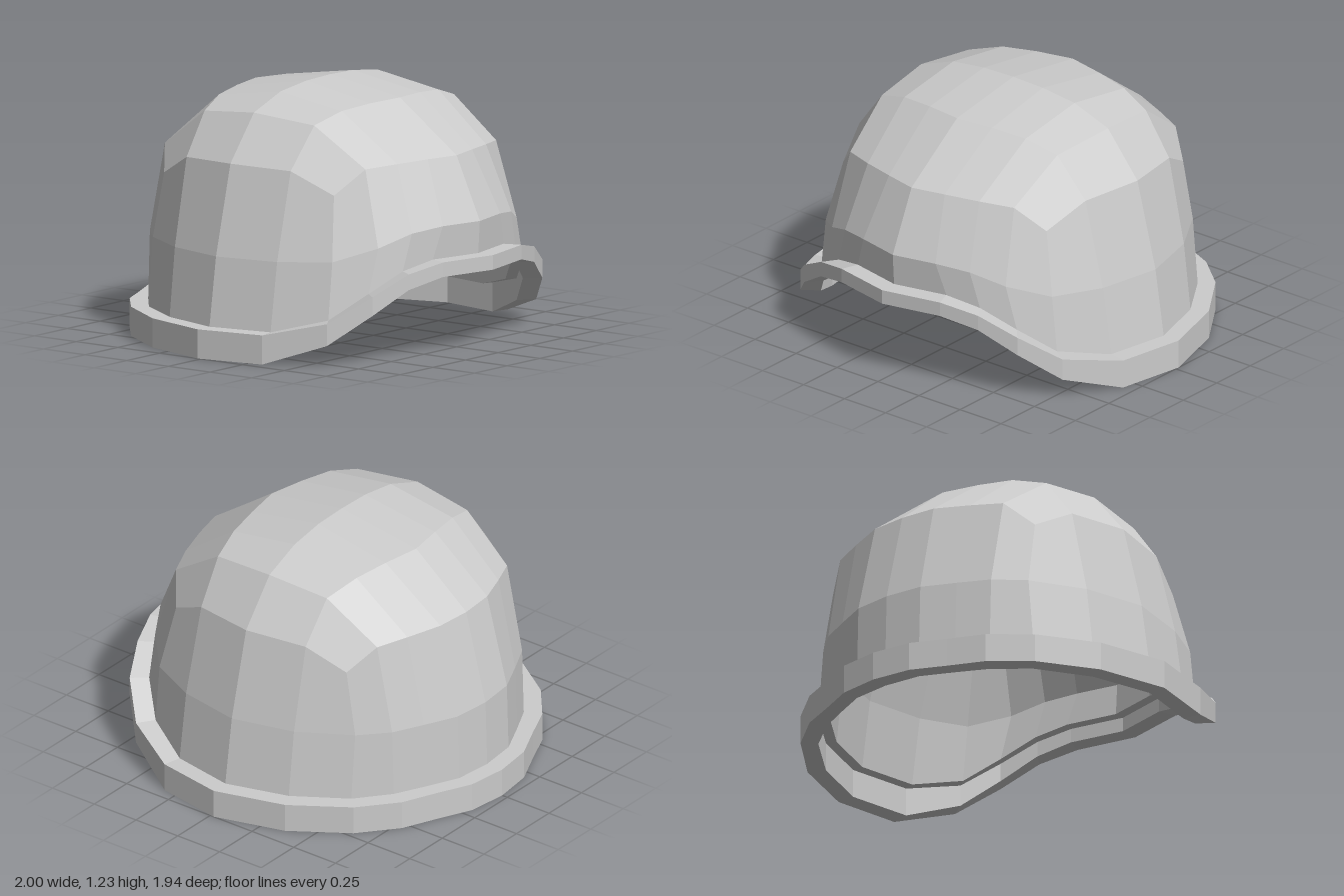
import * as THREE from 'three';

// Half rings run from front centre, round the +x side, to back centre: [x, y, z]
const mirrorX = ([x, y, z]) => [-x, y, z];
const fullRing = (half) => [...half, ...half.slice(1, -1).reverse().map(mirrorX)];
const fullRow = (half) => [...half.slice(1).reverse().map(mirrorX), ...half];

// Crown grid: rows from front to back, columns from the centre to the +x edge
const crownRows = [
  [[0, 0.92, 0.75], [0.17, 0.92, 0.71], [0.34, 0.915, 0.66], [0.5, 0.905, 0.595], [0.62, 0.785, 0.5]],
  [[0, 1.16, 0.41], [0.19, 1.155, 0.38], [0.37, 1.14, 0.35], [0.535, 1.09, 0.315], [0.69, 0.89, 0.295]],
  [[0, 1.225, -0.01], [0.18, 1.22, -0.01], [0.37, 1.195, -0.015], [0.57, 1.12, -0.02], [0.75, 0.9, -0.02]],
  [[0, 1.16, -0.455], [0.19, 1.155, -0.42], [0.37, 1.14, -0.385], [0.54, 1.09, -0.34], [0.69, 0.89, -0.33]],
  [[0, 0.92, -0.755], [0.18, 0.92, -0.74], [0.35, 0.91, -0.675], [0.5, 0.9, -0.61], [0.62, 0.785, -0.52]],
];
const crownEdge = [
  ...crownRows[0],
  ...crownRows.slice(1, 4).map((row) => row[4]),
  ...[...crownRows[4]].reverse(),
];

// Widest part of the wall
const wallMid = [
  [0, 0.62, 0.89], [0.22, 0.62, 0.84], [0.38, 0.6, 0.78], [0.53, 0.54, 0.695], [0.69, 0.48, 0.545],
  [0.8, 0.47, 0.3], [0.86, 0.47, -0.02], [0.78, 0.47, -0.33], [0.63, 0.47, -0.58],
  [0.5, 0.47, -0.7], [0.35, 0.47, -0.775], [0.19, 0.47, -0.85], [0, 0.47, -0.87],
];

// Rim outlines in plan [x, z], and its heights, raised at the brow
const rimOuter = [
  [0, 0.97], [0.3, 0.905], [0.48, 0.84], [0.65, 0.755], [0.8, 0.6], [0.94, 0.32], [1, -0.02],
  [0.9, -0.37], [0.72, -0.64], [0.54, -0.79], [0.37, -0.865], [0.2, -0.945], [0, -0.97],
];
const rimInner = [
  [0, 0.88], [0.27, 0.82], [0.43, 0.765], [0.59, 0.685], [0.72, 0.545], [0.85, 0.3], [0.91, -0.02],
  [0.82, -0.33], [0.66, -0.58], [0.5, -0.71], [0.35, -0.785], [0.19, -0.86], [0, -0.88],
];
const topY = [0.465, 0.465, 0.425, 0.33, 0.205];
const bottomY = [0.395, 0.395, 0.35, 0.24, 0.1];
const rimRing = (plan, heights, rest) =>
  fullRing(plan.map(([x, z], i) => [x, heights[i] ?? rest, z]));

// Flat-shaded quad, corners counter-clockwise as seen from its front
function quad(out, ...corners) {
  const [a, b, c, d] = corners.map((p) => new THREE.Vector3(...p));
  const normal = c.clone().sub(a).cross(d.clone().sub(b)).normalize();
  for (const p of [a, b, c, a, c, d]) {
    out.positions.push(p.x, p.y, p.z);
    out.normals.push(normal.x, normal.y, normal.z);
  }
}

// Band of quads between two closed rings
function band(out, a, b) {
  a.forEach((p, i) => {
    const n = (i + 1) % a.length;
    quad(out, p, a[n], b[n], b[i]);
  });
}

const newSurface = () => ({ positions: [], normals: [] });

function part(name, { positions, normals }) {
  const geometry = new THREE.BufferGeometry();
  geometry.setAttribute('position', new THREE.Float32BufferAttribute(positions, 3));
  geometry.setAttribute('normal', new THREE.Float32BufferAttribute(normals, 3));
  const mesh = new THREE.Mesh(geometry, new THREE.MeshStandardMaterial({ color: 0xcccccc }));
  mesh.name = name;
  return mesh;
}

// Dome surface from the rim up; the lining is the same surface facing inward
function dome(rings, rows, inward) {
  const out = newSurface();
  for (let r = 0; r < rings.length - 1; r++) {
    const [a, b] = [rings[r], rings[r + 1]];
    if (inward) band(out, b, a);
    else band(out, a, b);
  }
  for (let r = 0; r < rows.length - 1; r++) {
    for (let j = 0; j < rows[r].length - 1; j++) {
      const corners = [rows[r][j], rows[r][j + 1], rows[r + 1][j + 1], rows[r + 1][j]];
      quad(out, ...(inward ? corners.reverse() : corners));
    }
  }
  return out;
}

export function createModel() {
  const helmet = new THREE.Group();
  helmet.name = 'helmet';

  const outerTop = rimRing(rimOuter, topY, 0.14);
  const outerBottom = rimRing(rimOuter, bottomY, 0);
  const innerTop = rimRing(rimInner, topY, 0.14);
  const innerBottom = rimRing(rimInner, bottomY, 0);

  // Outer shell
  const rings = [innerTop, fullRing(wallMid), fullRing(crownEdge)];
  const rows = crownRows.map(fullRow);
  helmet.add(part('shell', dome(rings, rows, false)));

  // Lining, set in by the thickness of the shell, with a lip along its lower edge
  const inset = ([x, y, z]) => [
    x * 0.94, y - 0.055 * THREE.MathUtils.clamp((y - 0.62) / 0.5, 0, 1), z * 0.94];
  const liningRings = rings.map((ring) => ring.map(inset));
  const lining = dome(liningRings, rows.map((row) => row.map(inset)), true);
  band(lining, liningRings[0], innerTop);
  helmet.add(part('lining', lining));

  // Rim: outer wall, top, inner wall and underside
  const rim = newSurface();
  const loop = [outerBottom, outerTop, innerTop, innerBottom];
  loop.forEach((ring, i) => band(rim, ring, loop[(i + 1) % 4]));
  helmet.add(part('rim', rim));

  return helmet;
}
